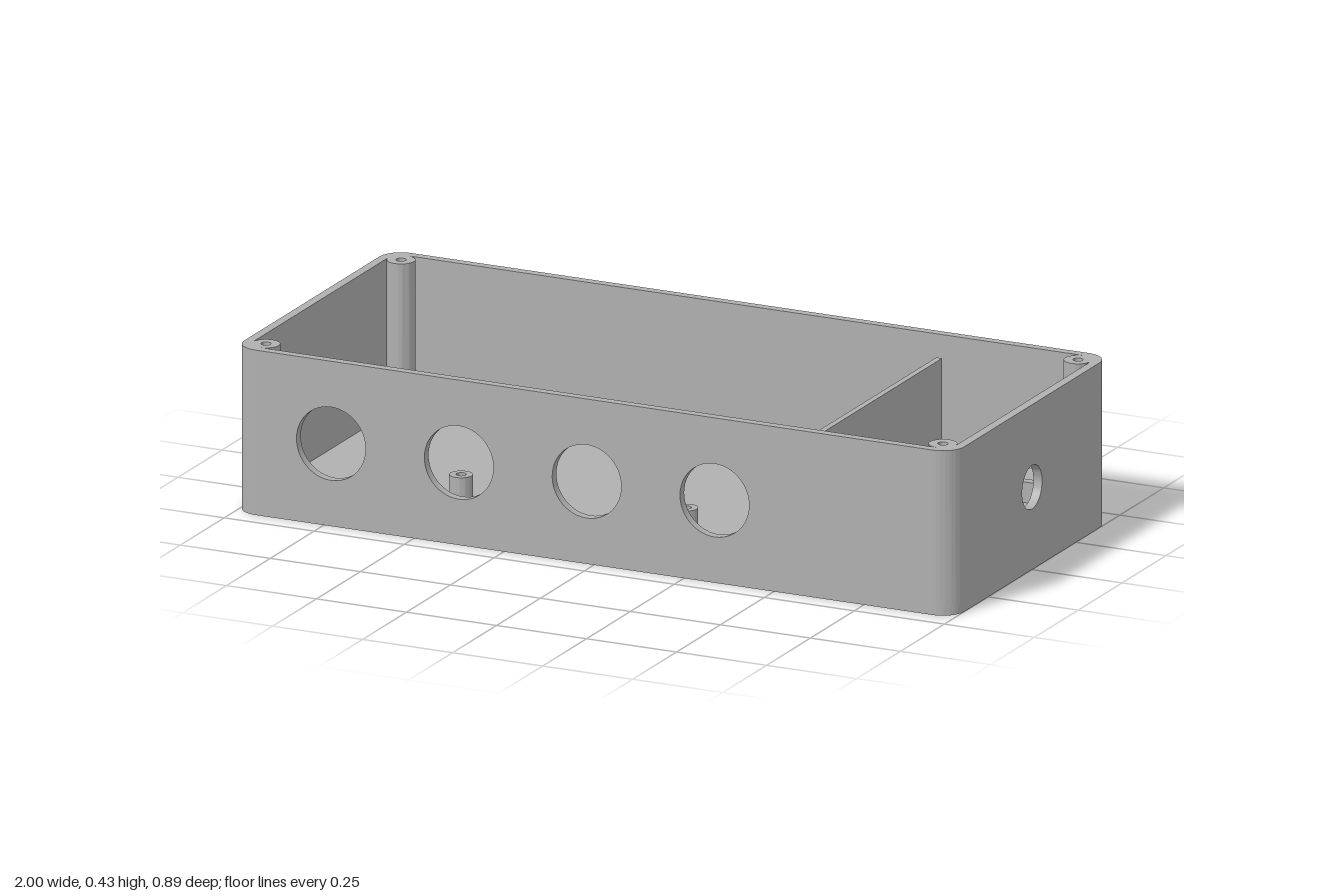
import * as THREE from 'three';
import { toCreasedNormals } from 'three/addons/utils/BufferGeometryUtils.js';

const W = 1, D = 0.445, H = 0.432; // half width, half depth, height
const T = 0.024;                   // wall and floor thickness
const R = 0.06;                    // outer corner radius

export function createModel() {
  const group = new THREE.Group();
  const grey = new THREE.MeshStandardMaterial({ color: 0xb0b0b0 });
  grey.name = 'grey plastic';

  const add = (name, geometry, x, y, z) => {
    const mesh = new THREE.Mesh(geometry, grey);
    mesh.name = name;
    mesh.position.set(x, y, z);
    group.add(mesh);
    return mesh;
  };
  const extrude = (shape, depth) => toCreasedNormals(
    new THREE.ExtrudeGeometry(shape, { depth, bevelEnabled: false, curveSegments: 24 }), 0.6);
  // Extrudes a plan shape upwards
  const extrudeUp = (shape, height) => extrude(shape, height).rotateX(-Math.PI / 2);
  const circle = (x, y, r, Type = THREE.Path) => new Type().absarc(x, y, r, 0, Math.PI * 2, false);
  const roundedRect = (cx, cy, hw, hh, r, Type = THREE.Path) => {
    const p = new Type();
    p.absarc(cx + hw - r, cy + hh - r, r, 0, Math.PI / 2, false);
    p.absarc(cx - hw + r, cy + hh - r, r, Math.PI / 2, Math.PI, false);
    p.absarc(cx - hw + r, cy - hh + r, r, Math.PI, Math.PI * 1.5, false);
    p.absarc(cx + hw - r, cy - hh + r, r, Math.PI * 1.5, Math.PI * 2, false);
    p.closePath();
    return p;
  };

  // Floor
  add('floor', extrudeUp(roundedRect(0, 0, W, D, R, THREE.Shape), T), 0, 0, 0);

  // Straight walls with their openings
  const wall = (half, holes) => {
    const s = new THREE.Shape();
    s.moveTo(-half, T).lineTo(half, T).lineTo(half, H).lineTo(-half, H).closePath();
    s.holes.push(...holes);
    return extrude(s, T);
  };
  const knobHoles = [-0.73, -0.375, -0.02, 0.335].map((x) => circle(x, 0.216, 0.096));
  add('frontWall', wall(W - R, knobHoles), 0, 0, D - T);
  add('backWall', wall(W - R, [roundedRect(0.795, 0.112, 0.07, 0.034, 0.026)]), 0, 0, -D);
  add('leftWall', wall(D - R, [circle(0, 0.216, 0.057)]).rotateY(Math.PI / 2), W - T, 0, 0);
  add('rightWall', wall(D - R, []).rotateY(Math.PI / 2), -W, 0, 0);

  // Rounded corners, each joined to a screw post
  const corner = new THREE.Shape();
  corner.absarc(0, 0, R, 0, Math.PI / 2, false);
  corner.absarc(0, 0, R - T, Math.PI / 2, Math.PI * 2, false);
  corner.closePath();
  corner.holes.push(circle(0, 0, 0.013));
  const cornerGeometry = extrudeUp(corner, H - T);
  [[1, -1], [-1, -1], [-1, 1], [1, 1]].forEach(([sx, sz], i) => {
    add('cornerPost', cornerGeometry, sx * (W - R), T, sz * (D - R)).rotation.y = i * Math.PI / 2;
  });

  // Circuit board standoffs
  const ring = circle(0, 0, 0.03, THREE.Shape);
  ring.holes.push(circle(0, 0, 0.013));
  const standoffGeometry = extrudeUp(ring, 0.06);
  for (const x of [-0.51, 0.115]) {
    for (const z of [-0.253, 0.155]) add('standoff', standoffGeometry, x, T, z);
  }

  // Partition, open at the back
  const z0 = -0.316, z1 = D - T, top = 0.407;
  add('partition', new THREE.BoxGeometry(0.016, top - T, z1 - z0), 0.588, (top + T) / 2, (z0 + z1) / 2);

  return group;
}
